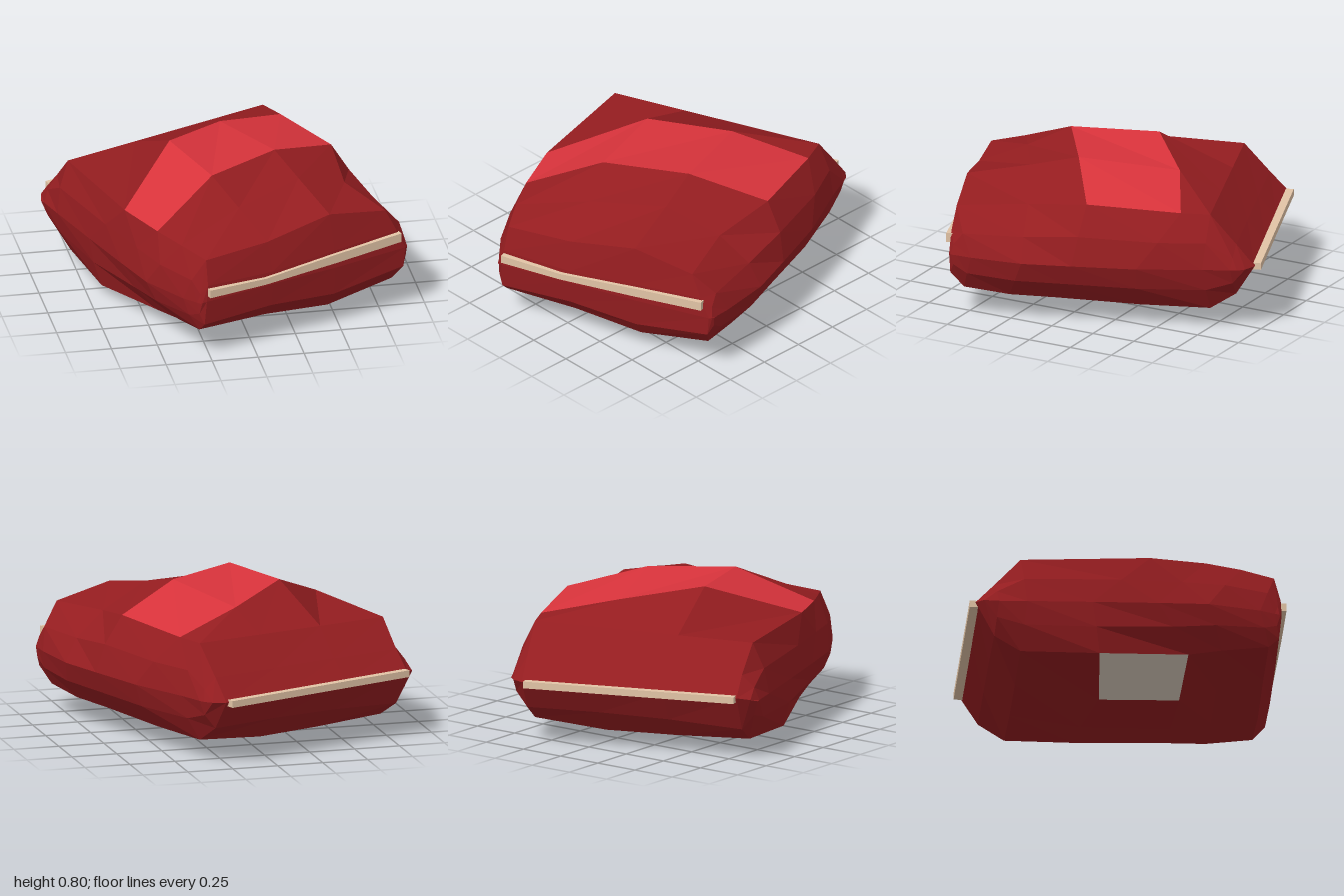
import * as THREE from 'three';

const flat = (name, color) => {
  const m = new THREE.MeshStandardMaterial({ color, flatShading: true });
  m.name = name;
  return m;
};

// Faceted skin between closed cross-sections, keeping only the cells that pass
function loft(sections, keep = () => true, caps = false) {
  const pos = [];
  const tri = (...p) => p.forEach((v) => pos.push(...v));
  const n = sections[0].length;
  for (let j = 0; j < sections.length - 1; j++) {
    for (let i = 0; i < n; i++) {
      if (!keep(j, i)) continue;
      const k = (i + 1) % n, A = sections[j], B = sections[j + 1];
      tri(A[i], A[k], B[i]);
      tri(A[k], B[k], B[i]);
    }
  }
  if (caps) {
    const A = sections[0], B = sections[sections.length - 1];
    for (let i = 1; i < n - 1; i++) {
      tri(A[0], A[i + 1], A[i]);
      tri(B[0], B[i], B[i + 1]);
    }
  }
  const g = new THREE.BufferGeometry();
  g.setAttribute('position', new THREE.Float32BufferAttribute(pos, 3));
  g.computeVertexNormals();
  return g;
}

export function createModel() {
  const red = flat('body red', 0x951d20);
  const bright = flat('bright red', 0xd8333b);
  const tan = flat('tan trim', 0xe2c4a6);
  const beige = flat('beige panel', 0xdccfbf);

  const model = new THREE.Group();
  model.name = 'carBody';
  const add = (name, geo, mat) => {
    const m = new THREE.Mesh(geo, mat);
    m.name = name;
    model.add(m);
  };

  // Each row runs across the body: [z or four z values, four heights, four x
  // values], from the tail over the skewed roof to the nose and back underneath
  const cols = [-0.6, -0.19, 0.2, 0.6];
  const rows = [
    [-0.82, [0.36, 0.36, 0.36, 0.36]],
    [-0.72, [0.465, 0.47, 0.475, 0.48]],
    [-0.58, [0.61, 0.62, 0.63, 0.64], [-0.617, -0.2, 0.2, 0.6]],
    [[0.11, -0.18, -0.354, -0.423], [0.615, 0.795, 0.735, 0.645], [-0.68, -0.225, 0.195, 0.615]],
    [[0.41, 0.3, 0.19, 0.084], [0.605, 0.79, 0.785, 0.67], [-0.655, -0.25, 0.207, 0.625]],
    [[0.6, 0.53, 0.45, 0.42], [0.59, 0.685, 0.725, 0.613], [-0.62, -0.22, 0.2, 0.505]],
    [[0.78, 0.79, 0.795, 0.8], [0.565, 0.585, 0.655, 0.595], [-0.576, -0.2, 0.186, 0.53]],
    [[0.815, 0.825, 0.825, 0.82], [0.43, 0.42, 0.45, 0.47], [-0.585, -0.19, 0.2, 0.59]],
    [[0.82, 0.83, 0.83, 0.825], [0.34, 0.35, 0.35, 0.36], [-0.595, -0.19, 0.2, 0.64]],
    [[0.805, 0.815, 0.815, 0.82], [0.2, 0.22, 0.19, 0.25], [-0.6, -0.19, 0.2, 0.63]],
    [0.75, [0.15, 0.14, 0.1, 0.16]],
    [0.5, [0.12, 0.075, 0.06, 0.135], [-0.6, -0.19, 0.2, 0.615]],
    [[0.32, 0.3, 0.28, 0.25], [0.09, 0.01, 0.02, 0.125]],
    [[-0.16, -0.13, -0.2, -0.2], [0.055, 0, 0.015, 0.11], [-0.66, -0.19, 0.2, 0.6]],
    [-0.58, [0.08, 0.07, 0.07, 0.11]],
    [-0.72, [0.165, 0.19, 0.2, 0.2]],
  ];
  const main = cols.map((_, c) => rows.map(([z, y, x = cols]) =>
    [x[c], y[c], Array.isArray(z) ? z[c] : z]));

  // Side belt from tail to nose; upper and lower rows meet on the same points
  const beltZ = [-0.735, -0.7, -0.55, -0.2, 0.15, 0.42, 0.7, 0.78, 0.805];
  const beltLeft = [0.685, 0.69, 0.7, 0.748, 0.752, 0.752, 0.695, 0.67, 0.664];
  const beltRight = [0.692, 0.692, 0.7, 0.715, 0.727, 0.733, 0.67, 0.635, 0.627];
  const side = (section, sign, t) => section.map(([x, y, z], i) => {
    const b = i <= 8 ? i : 16 - i;
    const bx = sign * (sign > 0 ? beltLeft : beltRight)[b];
    const by = sign > 0 ? 0.36 : 0.33;
    return [x + (bx - x) * Math.sqrt(t), y + (by - y) * t, z + (beltZ[b] - z) * t];
  });
  const sections = [
    side(main[0], -1, 1), side(main[0], -1, 0.5), ...main,
    side(main[3], 1, 0.5), side(main[3], 1, 1),
  ];

  const isRoof = (j, i) => i === 3 && j >= 2 && j <= 4;
  const isUnder = (j, i) => i === 12 && j === 2;
  add('bodyShell', loft(sections, (j, i) => !isRoof(j, i) && !isUnder(j, i)), red);
  add('roofPanel', loft(sections, isRoof), bright);
  add('undersidePanel', loft(sections, isUnder), beige);

  // Bumper strips: [x, bottom, top] stations between two depths
  const strip = (stations, z0, z1) => loft(stations.map(([x, b, t]) =>
    [[x, b, z0], [x, t, z0], [x, t, z1], [x, b, z1]]), undefined, true);
  add('frontStrip', strip([[-0.587, 0.37, 0.415], [-0.24, 0.365, 0.4],
    [0.2, 0.385, 0.435], [0.605, 0.41, 0.46]], 0.79, 0.846), tan);
  add('rearStrip', strip([[-0.593, 0.335, 0.372], [0.583, 0.335, 0.372]], -0.851, -0.79), tan);

  // The body stands turned on its base
  model.rotation.y = 0.354;
  const root = new THREE.Group();
  root.name = 'model';
  root.add(model);
  return root;
}
